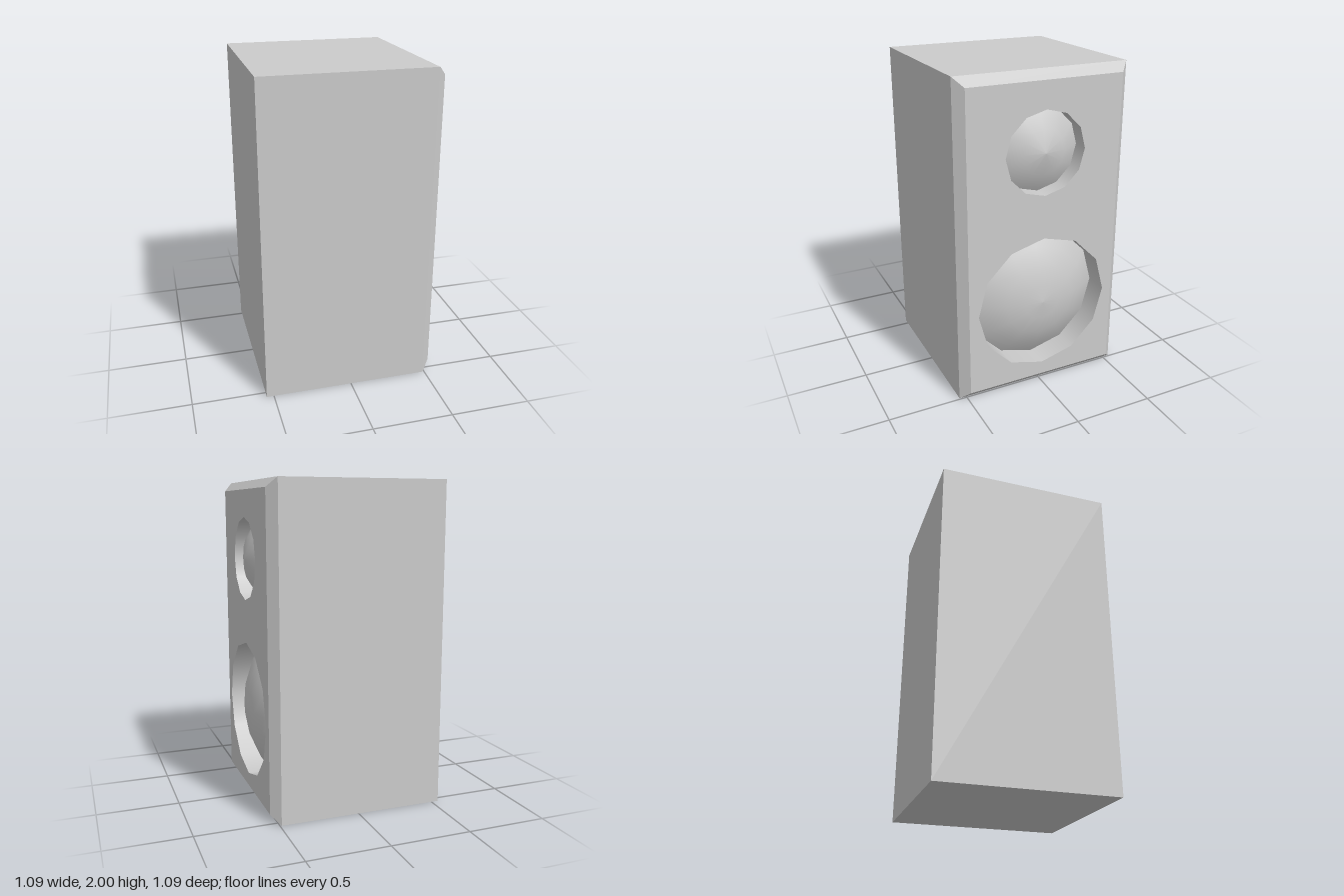
import * as THREE from 'three';

const HALF = 0.545, HEIGHT = 2, BEVEL = 0.055, SIDES = 12;
const DRIVERS = [
  { name: 'tweeter', y: 1.525, radius: 0.255, depth: 0.1, rings: 2 },
  { name: 'woofer', y: 0.57, radius: 0.43, depth: 0.15, rings: 4 },
];

// Rectangular cross-section at x, counter-clockwise seen from +x
function section(x, inset) {
  const lo = inset, hi = HEIGHT - inset, w = HALF - inset;
  return [[x, lo, w], [x, lo, -w], [x, hi, -w], [x, hi, w]];
}

// Back, sides and chamfer of the box, open where the baffle sits
function cabinetGeometry() {
  const loops = [section(-HALF, 0), section(HALF - BEVEL, 0), section(HALF, BEVEL)];
  const positions = [];
  const quad = (a, b, c, d) => positions.push(...a, ...b, ...c, ...a, ...c, ...d);
  for (let k = 0; k < loops.length - 1; k++) {
    for (let i = 0; i < 4; i++) {
      const j = (i + 1) % 4;
      quad(loops[k][i], loops[k][j], loops[k + 1][j], loops[k + 1][i]);
    }
  }
  quad(...[...loops[0]].reverse());
  const geometry = new THREE.BufferGeometry();
  geometry.setAttribute('position', new THREE.Float32BufferAttribute(positions, 3));
  geometry.computeVertexNormals();
  return geometry;
}

// Flat panel with a polygonal opening for each driver
function baffleGeometry() {
  const w = HALF - BEVEL;
  const shape = new THREE.Shape([
    new THREE.Vector2(-w, BEVEL), new THREE.Vector2(w, BEVEL),
    new THREE.Vector2(w, HEIGHT - BEVEL), new THREE.Vector2(-w, HEIGHT - BEVEL),
  ]);
  for (const { y, radius } of DRIVERS) {
    const points = [];
    for (let i = 0; i < SIDES; i++) {
      const a = -i / SIDES * Math.PI * 2;
      points.push(new THREE.Vector2(Math.cos(a) * radius, y + Math.sin(a) * radius));
    }
    shape.holes.push(new THREE.Path(points));
  }
  return new THREE.ShapeGeometry(shape).rotateY(Math.PI / 2).translate(HALF, 0, 0);
}

// Spherical cap profile from its rim up to its apex
function domeProfile(radius, height, rings) {
  const sphere = (radius * radius + height * height) / (2 * height);
  const rimAngle = Math.asin(radius / sphere);
  const points = [];
  for (let i = 0; i <= rings; i++) {
    const a = rimAngle * (1 - i / rings);
    points.push(new THREE.Vector2(Math.sin(a) * sphere, Math.cos(a) * sphere - sphere));
  }
  return points;
}

export function createModel() {
  const model = new THREE.Group();
  model.name = 'loudspeaker';
  const material = new THREE.MeshStandardMaterial({ color: 0xcccccc });
  const add = (parent, name, geometry) => {
    const mesh = new THREE.Mesh(geometry, material);
    mesh.name = name;
    parent.add(mesh);
  };

  add(model, 'cabinet', cabinetGeometry());
  add(model, 'baffle', baffleGeometry());

  // Recessed drivers: inward-facing wall and a dome rising to the baffle plane
  for (const { name, y, radius, depth, rings } of DRIVERS) {
    const driver = new THREE.Group();
    driver.name = name;
    driver.position.set(HALF, y, 0);
    driver.rotation.z = -Math.PI / 2;
    const wall = [new THREE.Vector2(radius, 0), new THREE.Vector2(radius, -depth)];
    add(driver, name + 'Wall', new THREE.LatheGeometry(wall, SIDES));
    add(driver, name + 'Dome', new THREE.LatheGeometry(domeProfile(radius, depth, rings), SIDES));
    model.add(driver);
  }
  return model;
}
